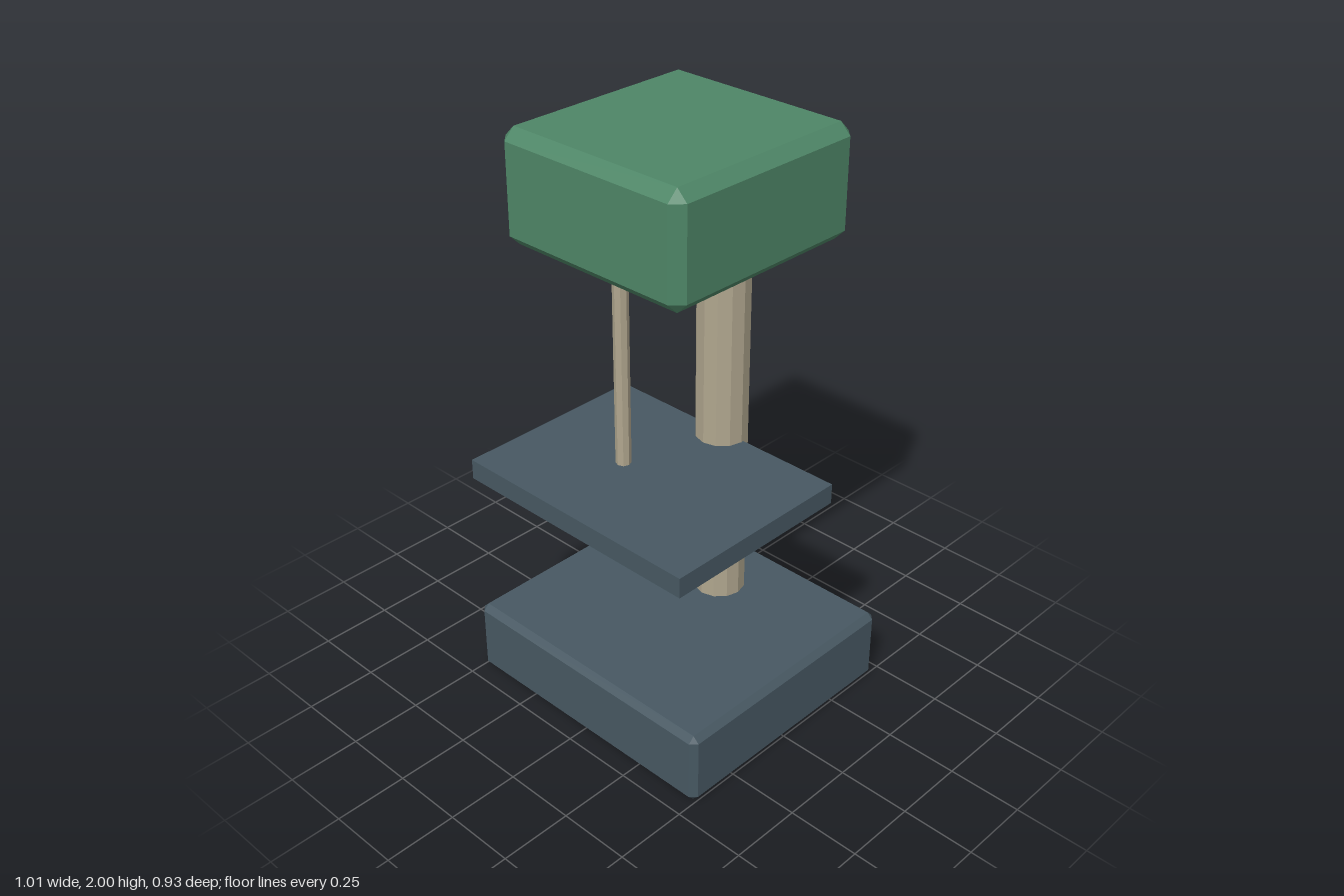
import * as THREE from 'three';
import { ConvexGeometry } from 'three/addons/geometries/ConvexGeometry.js';

const paint = (name, color) => {
  const m = new THREE.MeshStandardMaterial({ color });
  m.name = name;
  return m;
};

// Box with every edge cut by one flat chamfer
function chamferBox(w, h, d, c) {
  const pts = [];
  for (const sx of [-1, 1]) for (const sy of [-1, 1]) for (const sz of [-1, 1]) {
    for (let full = 0; full < 3; full++) {
      const [x, y, z] = [w, h, d].map((s, i) => s / 2 - (i === full ? 0 : c));
      pts.push(new THREE.Vector3(sx * x, sy * y, sz * z));
    }
  }
  return new ConvexGeometry(pts);
}

// Faceted upright rod between two heights
function rod(radius, y0, y1, sides) {
  const g = new THREE.CylinderGeometry(radius, radius, y1 - y0, sides).toNonIndexed();
  g.computeVertexNormals();
  return g.translate(0, (y0 + y1) / 2, 0);
}

export function createModel() {
  const group = new THREE.Group();
  group.name = 'drillPress';
  const slate = paint('slate', 0x475862);
  const green = paint('green', 0x4e8667);
  const steel = paint('warmSteel', 0xb0a68e);

  const add = (name, geometry, material, x, y, z) => {
    const mesh = new THREE.Mesh(geometry, material);
    mesh.name = name;
    mesh.position.set(x, y, z);
    group.add(mesh);
  };

  add('base', chamferBox(1.01, 0.26, 0.905, 0.021), slate, 0, 0.13, -0.012);
  add('column', rod(0.089, 0.24, 1.65, 12), steel, 0, 0, -0.222);
  add('workTable', new THREE.BoxGeometry(0.926, 0.07, 0.692), slate, 0, 0.835, 0.115);
  add('head', chamferBox(0.724, 0.37, 0.755, 0.037), green, 0, 1.815, -0.012);
  add('spindle', rod(0.025, 0.96, 1.65, 8), steel, 0, 0, 0.23);
  return group;
}
